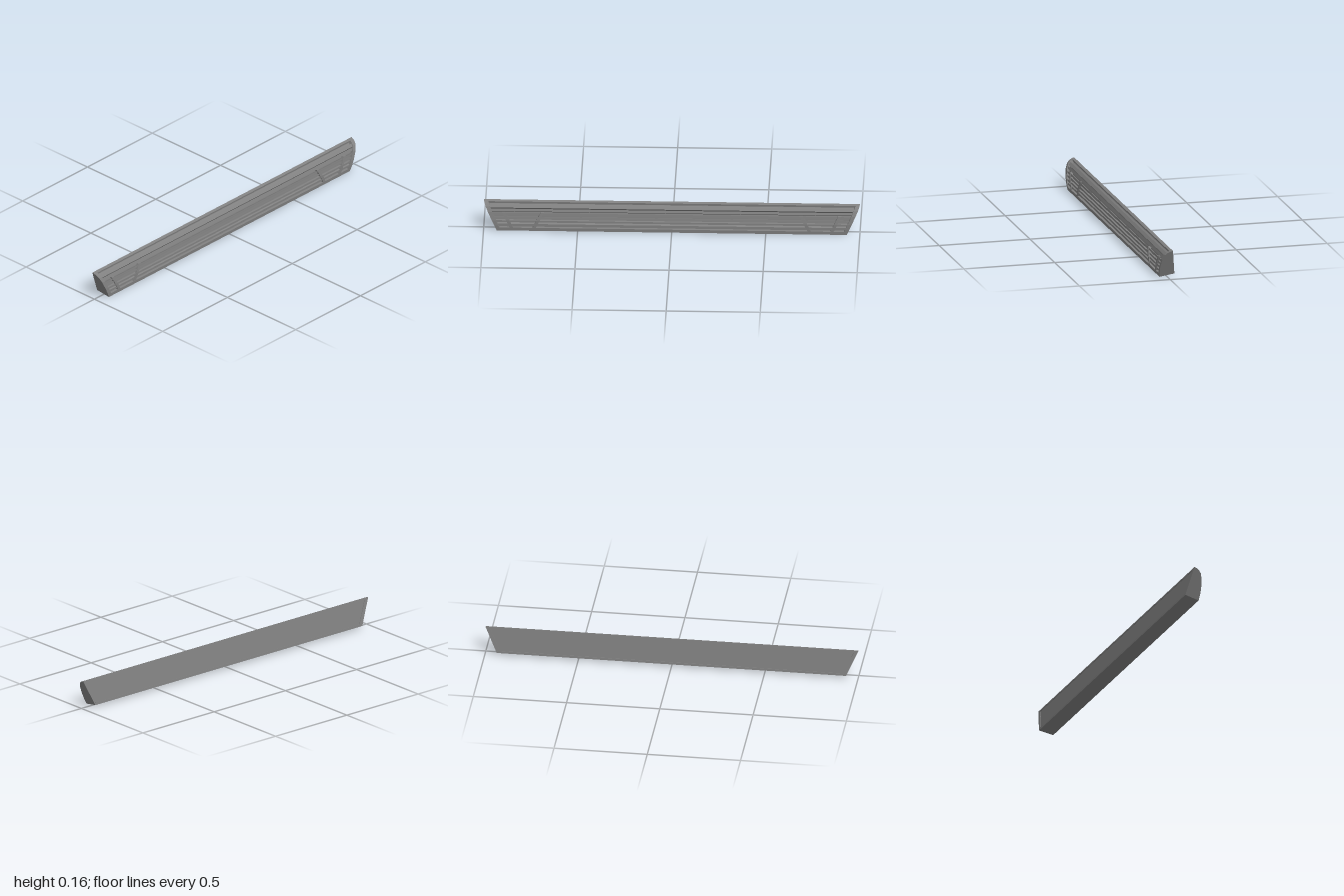
import * as THREE from 'three';

const grey = new THREE.MeshStandardMaterial({ color: 0x808080 });
grey.name = 'grey';

// Front curve from bottom to top, as [z, y]
const front = [[0.04, 0], [0.043, 0.03], [0.043, 0.06], [0.037, 0.105], [0.026, 0.132], [0.014, 0.144], [0, 0.152], [-0.015, 0.157]];
const backLow = [-0.04, 0.015];
const backTop = front[front.length - 1];

// Half width of the tapered body at height y
const halfWidth = (y) => 0.93 + 0.07 * y / 0.157;

// Depth of the front curve at height y
function frontZ(y) {
  for (let i = 1; i < front.length; i++) {
    const [z0, y0] = front[i - 1], [z1, y1] = front[i];
    if (y <= y1) return z0 + (z1 - z0) * (y - y0) / (y1 - y0);
  }
  return backTop[0];
}

// Point below the front curve, moved towards the middle of the section
function inside(y, depth) {
  const z = frontZ(y);
  const dz = -0.025 - z, dy = 0.065 - y;
  const s = depth / Math.hypot(dz, dy);
  return [z + dz * s, y + dy * s];
}

// Point on the back plane, t from bottom to top, moved d towards the front
const back = (t, d) => [backLow[0] + 0.025 * t + d * 0.985, backLow[1] + 0.142 * t - d * 0.17];

// Prism with a [z, y] section running from x = from(y) to x = to(y)
function prism(name, section, from, to) {
  const shape = new THREE.Shape(section.map(([z, y]) => new THREE.Vector2(-z, y)));
  const geo = new THREE.ExtrudeGeometry(shape, { depth: 1, bevelEnabled: false });
  geo.rotateY(Math.PI / 2);
  const p = geo.attributes.position;
  for (let i = 0; i < p.count; i++) {
    const y = p.getY(i);
    p.setX(i, p.getX(i) > 0.5 ? to(y) : from(y));
  }
  geo.computeVertexNormals();
  const mesh = new THREE.Mesh(geo, grey);
  mesh.name = name;
  return mesh;
}

const across = (name, section, inset) =>
  prism(name, section, (y) => inset - halfWidth(y), (y) => halfWidth(y) - inset);

// Slat following the front curve between two heights
const slat = (name, y0, y1, top, bottom) =>
  across(name, [inside(y0, top), inside(y1, top), inside(y1, bottom), inside(y0, bottom)], 0.015);

export function createModel() {
  const model = new THREE.Group();
  model.name = 'grille';

  // End plates with the full section
  const profile = [...front, backLow];
  model.add(prism('leftEndPlate', profile, (y) => halfWidth(y) - 0.022, halfWidth));
  model.add(prism('rightEndPlate', profile, (y) => -halfWidth(y), (y) => 0.022 - halfWidth(y)));

  // Top and bottom rails of the frame
  model.add(across('topRail', [[0, 0.152], backTop, back(0.93, 0), back(0.93, 0.016)], 0.01));
  model.add(across('bottomRail', [front[0], [0.0418, 0.018], [-0.0385, 0.0265], backLow], 0.01));

  // Back panel, slightly sunk into the frame
  model.add(across('backPanel', [back(0.04, 0.003), back(0.04, 0.012), back(0.96, 0.012), back(0.96, 0.003)], 0.015));

  // Recessed body behind the slats
  const core = [0.008, 0.03, 0.06, 0.105, 0.132, 0.144, 0.152].map((y) => inside(y, 0.016));
  model.add(across('recess', [...core, back(0.94, 0.006), back(0.06, 0.006)], 0.015));

  // Horizontal slats
  const rows = [[0.027, 0.038], [0.048, 0.059], [0.069, 0.08], [0.09, 0.101], [0.112, 0.124], [0.13, 0.144]];
  rows.forEach(([y0, y1], i) => model.add(slat('slat' + (i + 1), y0, y1, 0.004, 0.019)));

  // Slanted struts, mirrored to both sides
  for (const side of [-1, 1]) {
    for (const [topX, lowX] of [[0.893, 0.852], [0.688, 0.731]]) {
      const centre = (y) => side * (lowX + (topX - lowX) * (y - 0.018) / 0.087);
      const section = [[0.0415, 0.018], [0.0425, 0.06], [0.0365, 0.105], [0.018, 0.105], [0.022, 0.018]];
      model.add(prism(side > 0 ? 'leftStrut' : 'rightStrut', section, (y) => centre(y) - 0.009, (y) => centre(y) + 0.009));
    }
  }
  return model;
}
